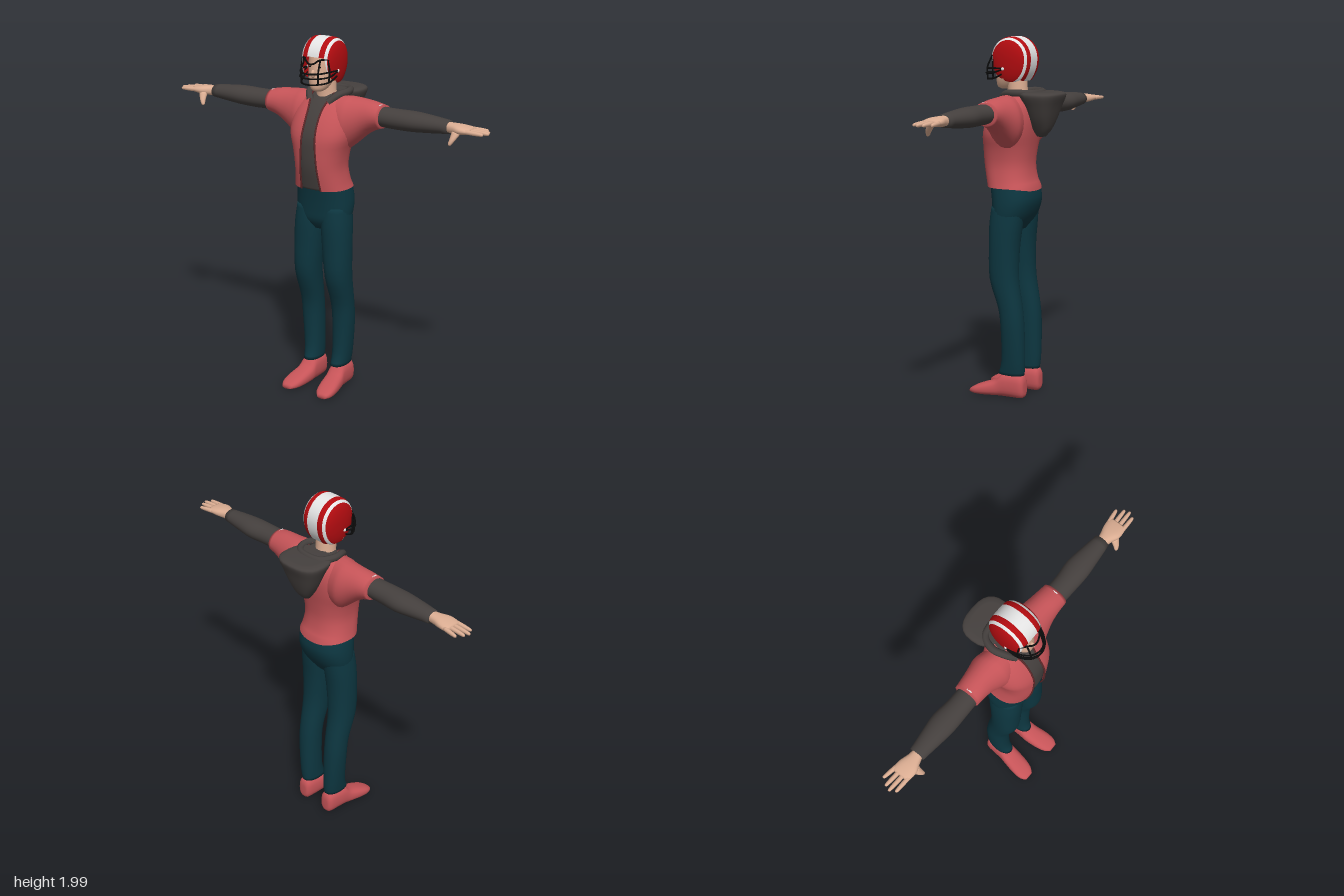
import * as THREE from 'three';

const mat = (name, color, side = THREE.FrontSide) => {
  const m = new THREE.MeshStandardMaterial({ color, side });
  m.name = name;
  return m;
};
const AXES = { x: ['x', 'z', 'y'], y: ['y', 'x', 'z'], z: ['z', 'y', 'x'] };
const V = (x, y, z) => new THREE.Vector3(x, y, z);

// Point on a superellipse ring [t, min1, max1, min2, max2]
function ringPoint(r, a, axis, p) {
  const [t, s, c] = AXES[axis], sn = Math.sin(a), cs = Math.cos(a), v = V(0, 0, 0);
  v[t] = r[0];
  v[s] = (r[1] + r[2]) / 2 + (r[2] - r[1]) / 2 * Math.sign(sn) * Math.abs(sn) ** p;
  v[c] = (r[3] + r[4]) / 2 + (r[4] - r[3]) / 2 * Math.sign(cs) * Math.abs(cs) ** p;
  return v;
}

// Smoothly adds rings between the given ones
function refine(rings, n = 3) {
  const out = [], last = rings.length - 1;
  for (let i = 0; i < last; i++) for (let k = 0; k < n; k++) {
    const t = k / n, q = [-1, 0, 1, 2].map(d => rings[Math.min(last, Math.max(0, i + d))]);
    out.push(q[1].map((b, j) => {
      const a = q[0][j], c = q[2][j], d = q[3][j];
      return b + 0.5 * t * (c - a + t * (2 * a - 5 * b + 4 * c - d + t * (3 * (b - c) + d - a)));
    }));
  }
  out.push(rings[last]);
  return out;
}

function toGeometry(points, index) {
  const g = new THREE.BufferGeometry().setFromPoints(points);
  g.setIndex(index);
  g.computeVertexNormals();
  return g;
}

// Closed, capped body through rings along an axis
function loft(axis, rings, { seg = 24, p = 1 } = {}) {
  const R = refine(rings), mid = r => [r[0], ...Array(2).fill((r[1] + r[2]) / 2), ...Array(2).fill((r[3] + r[4]) / 2)];
  const all = [mid(R[0]), ...R, mid(R[R.length - 1])], pts = [], idx = [];
  all.forEach((r, j) => {
    for (let i = 0; i < seg; i++) {
      pts.push(ringPoint(r, i / seg * Math.PI * 2, axis, p));
      if (j) {
        const n = (i + 1) % seg, a = (j - 1) * seg + i, b = (j - 1) * seg + n, c = j * seg + n, d = j * seg + i;
        idx.push(a, b, c, a, c, d);
      }
    }
  });
  return toGeometry(pts, idx);
}

// Open grid surface from fn(column, row)
function grid(cols, rows, fn) {
  const pts = [], idx = [];
  for (let i = 0; i <= cols; i++) for (let j = 0; j <= rows; j++) {
    pts.push(fn(i, j));
    if (i && j) {
      const a = (i - 1) * (rows + 1) + j - 1, b = a + rows + 1;
      idx.push(a, b, b + 1, a, b + 1, a + 1);
    }
  }
  return toGeometry(pts, idx);
}

function mirrored(geo) {
  const g = geo.clone().scale(-1, 1, 1), ix = g.index.array;
  for (let i = 0; i < ix.length; i += 3) [ix[i], ix[i + 1]] = [ix[i + 1], ix[i]];
  return g;
}

const tube = (pts, r, n = 24) => new THREE.TubeGeometry(
  new THREE.CatmullRomCurve3(pts.map(q => q.isVector3 ? q : V(...q))), n, r, 8);
const ball = (x, y, z, rx, ry, rz) => new THREE.SphereGeometry(1, 16, 12).scale(rx, ry, rz).translate(x, y, z);

export function createModel() {
  const root = new THREE.Group();
  const red = mat('jacket red', 0xc65458, THREE.DoubleSide), grey = mat('charcoal cloth', 0x45403e);
  const teal = mat('dark teal denim', 0x0d3640), skin = mat('skin', 0xdcae93);
  const shellRed = mat('helmet red', 0xb30c10, THREE.DoubleSide), white = mat('helmet white', 0xe6e6e6, THREE.DoubleSide);
  const black = mat('black', 0x0b0b0b), trim = mat('jacket trim', 0x5c2829);
  const add = (name, geo, m) => {
    const mesh = new THREE.Mesh(geo, m);
    mesh.name = name;
    root.add(mesh);
  };
  const pair = (name, geo, m) => {
    add(name + 'Left', geo, m);
    add(name + 'Right', mirrored(geo), m);
  };

  // Trousers
  add('trouserSeat', loft('y', [
    [0.95, -0.09, 0.09, -0.02, 0.1], [1.0, -0.15, 0.15, -0.055, 0.13], [1.06, -0.162, 0.162, -0.085, 0.137],
    [1.13, -0.16, 0.16, -0.1, 0.145], [1.22, -0.148, 0.148, -0.08, 0.16]], { p: 0.85, seg: 32 }), teal);
  pair('trouserLeg', loft('y', [
    [0.14, 0.043, 0.135, -0.07, 0.085], [0.22, 0.042, 0.145, -0.075, 0.062], [0.4, 0.04, 0.16, -0.072, 0.06],
    [0.52, 0.037, 0.163, -0.06, 0.075], [0.68, 0.028, 0.17, -0.035, 0.128], [0.85, 0.012, 0.172, -0.035, 0.134],
    [0.98, 0.003, 0.167, -0.05, 0.135], [1.08, 0.005, 0.155, -0.06, 0.125]], { p: 0.9 }), teal);

  // Shoes
  pair('shoe', loft('z', [
    [-0.08, 0.035, 0.1, 0.07, 0.11], [-0.065, 0.012, 0.14, 0.05, 0.132], [0.0, 0.01, 0.148, 0.043, 0.14],
    [0.05, 0.01, 0.143, 0.042, 0.145], [0.09, 0.01, 0.105, 0.042, 0.152], [0.16, 0.008, 0.08, 0.05, 0.164],
    [0.215, 0.01, 0.058, 0.065, 0.163], [0.247, 0.015, 0.038, 0.09, 0.145]], { p: 0.8 }), red);

  // Open jacket over a shirt; the last number is half the front gap
  const jacket = refine([
    [1.185, -0.158, 0.158, -0.1, 0.172, 0.062], [1.23, -0.148, 0.148, -0.08, 0.182, 0.058],
    [1.31, -0.14, 0.14, -0.07, 0.197, 0.052], [1.4, -0.154, 0.154, -0.08, 0.2, 0.046],
    [1.48, -0.178, 0.178, -0.095, 0.195, 0.042], [1.56, -0.175, 0.175, -0.105, 0.165, 0.04],
    [1.63, -0.155, 0.155, -0.1, 0.122, 0.045], [1.68, -0.115, 0.115, -0.08, 0.08, 0.062],
    [1.7, -0.085, 0.085, -0.065, 0.055, 0.065]]);
  const P = 0.85, gapAngle = r => Math.asin((r[5] / r[2]) ** (1 / P));
  add('jacketBody', grid(40, jacket.length - 1, (i, j) => {
    const g = gapAngle(jacket[j]), a = g + i / 40 * (Math.PI * 2 - 2 * g);
    const v = ringPoint(jacket[j], a, 'y', P);
    if (j === 0) v.y -= 0.018 * Math.max(0, -Math.cos(a)) ** 3;
    return v;
  }), red);
  pair('jacketEdge', tube(jacket.map(r => ringPoint(r, gapAngle(r), 'y', P)), 0.005, 40), trim);
  add('shirt', loft('y', jacket.filter((r, j) => j % 3 === 0).map(r =>
    [r[0], r[1] + 0.012, r[2] - 0.012, r[3] + 0.012, r[4] - 0.012]), { p: P, seg: 40 }), grey);

  // Short jacket sleeves and long shirt sleeves
  pair('jacketSleeve', loft('x', [
    [0.08, -0.075, 0.11, 1.42, 1.688], [0.14, -0.09, 0.115, 1.405, 1.692], [0.18, -0.095, 0.105, 1.43, 1.69],
    [0.24, -0.08, 0.09, 1.482, 1.686], [0.3, -0.068, 0.085, 1.523, 1.68], [0.36, -0.06, 0.084, 1.545, 1.668]]), red);
  pair('shirtSleeve', loft('x', [
    [0.33, -0.045, 0.075, 1.555, 1.66], [0.44, -0.045, 0.078, 1.552, 1.66], [0.54, -0.055, 0.08, 1.553, 1.66],
    [0.63, -0.045, 0.072, 1.56, 1.655], [0.75, -0.028, 0.058, 1.572, 1.643]]), grey);
  pair('cuffMark', new THREE.BoxGeometry(0.006, 0.006, 0.03).translate(0.345, 1.668, 0.02), white);

  // Hands
  pair('palm', loft('x', [
    [0.74, -0.012, 0.045, 1.582, 1.634], [0.78, -0.018, 0.058, 1.58, 1.634], [0.82, -0.03, 0.075, 1.583, 1.632],
    [0.86, -0.035, 0.074, 1.588, 1.626], [0.885, -0.032, 0.068, 1.592, 1.62]], { p: 0.85 }), skin);
  [[-0.023, -0.037, 0.945], [0.005, -0.002, 0.97], [0.032, 0.027, 0.98], [0.06, 0.058, 0.962]].forEach(([z0, z1, tip], k) => {
    const ring = (t, r) => {
      const x = 0.86 + t * (tip - 0.86), z = z0 + t * (z1 - z0), y = 1.607 - 0.003 * t;
      return [x, z - r, z + r, y - r, y + r];
    };
    pair('finger' + (k + 1), loft('x', [ring(0, 0.012), ring(0.5, 0.0115), ring(0.9, 0.009), ring(1, 0.005)], { seg: 10 }), skin);
  });
  pair('thumb', loft('y', [
    [1.532, 0.785, 0.797, 0.08, 0.09], [1.54, 0.781, 0.803, 0.074, 0.094], [1.565, 0.784, 0.82, 0.056, 0.088],
    [1.6, 0.785, 0.84, 0.03, 0.07]], { seg: 12 }), skin);

  // Hood hanging behind the neck, with its collar
  add('hood', loft('y', [
    [1.465, -0.025, 0.025, -0.15, -0.11], [1.5, -0.05, 0.05, -0.18, -0.09], [1.56, -0.085, 0.085, -0.205, -0.08],
    [1.63, -0.115, 0.115, -0.228, -0.06], [1.68, -0.135, 0.135, -0.247, -0.03], [1.7, -0.13, 0.13, -0.245, -0.02],
    [1.708, -0.1, 0.1, -0.215, -0.02]], { p: 0.75 }), grey);
  add('hoodCollar', tube([[-0.055, 1.655, 0.088], [-0.09, 1.692, 0.045], [-0.108, 1.702, -0.03], [-0.07, 1.7, -0.1],
    [0.07, 1.7, -0.1], [0.108, 1.702, -0.03], [0.09, 1.692, 0.045], [0.055, 1.655, 0.088]], 0.02, 48), grey);

  // Neck, head and face
  add('neck', loft('y', [[1.64, -0.065, 0.065, -0.055, 0.07], [1.69, -0.055, 0.055, -0.04, 0.07],
    [1.79, -0.052, 0.052, -0.035, 0.08]]), skin);
  add('head', loft('y', [
    [1.717, -0.025, 0.025, 0.06, 0.12], [1.73, -0.042, 0.042, 0.03, 0.138], [1.765, -0.06, 0.06, -0.01, 0.143],
    [1.81, -0.07, 0.07, -0.045, 0.14], [1.87, -0.076, 0.076, -0.06, 0.134], [1.915, -0.07, 0.07, -0.05, 0.125],
    [1.95, -0.045, 0.045, -0.02, 0.09]]), skin);
  add('nose', ball(0, 1.815, 0.143, 0.011, 0.022, 0.016), skin);
  pair('eye', ball(0.028, 1.85, 0.127, 0.011, 0.005, 0.006), black);

  // Helmet shell with lengthwise stripes
  const half = [[0.036, white, 4], [0.066, shellRed, 4], [0.08, white, 3], [0.103, shellRed, 10]];
  const xs = [0], mats = [];
  let from = 0;
  half.forEach(([to, m, n]) => {
    for (let k = 1; k <= n; k++) {
      const t = k / n;
      xs.push(from + (to - from) * (to > 0.1 ? 1 - (1 - t) ** 2 : t));
      mats.push(m);
    }
    from = to;
  });
  const columns = [...xs.slice(1).reverse().map(x => -x), ...xs], columnMats = [...[...mats].reverse(), ...mats];
  const ROWS = 40, rad = Math.PI / 180;
  const shell = grid(columns.length - 1, ROWS, (i, j) => {
    const x = columns[i], c = Math.min(1, Math.abs(x) / 0.103) ** 2.5, r = Math.sqrt(1 - c * c);
    const k = THREE.MathUtils.smoothstep(Math.abs(x), 0.066, 0.09);
    const a0 = THREE.MathUtils.lerp(12, -72, k), a1 = THREE.MathUtils.lerp(232, 288, k);
    const a = (a0 + j / ROWS * (a1 - a0)) * rad, s = Math.sin(a);
    return V(x, Math.max(1.758, 1.88 + (s > 0 ? 0.12 : 0.15) * r * s), 0.032 + 0.116 * r * Math.cos(a));
  });
  columnMats.forEach((m, i) => shell.addGroup(i * ROWS * 6, ROWS * 6, m === white ? 0 : 1));
  add('helmetShell', shell, [white, shellRed]);
  pair('helmetStud', ball(0.1, 1.828, 0.055, 0.005, 0.009, 0.009), white);

  // Face guard
  const bar = (name, half) => add(name, tube([...half.map(([x, y, z]) => [-x, y, z]), ...[...half].reverse().slice(half[half.length - 1][0] ? 0 : 1)], 0.0048, 40), black);
  bar('guardUpperBar', [[0.098, 1.83, 0.06], [0.09, 1.83, 0.12], [0.055, 1.825, 0.175], [0, 1.823, 0.197]]);
  bar('guardMiddleBar', [[0.098, 1.825, 0.06], [0.09, 1.805, 0.12], [0.055, 1.8, 0.18], [0, 1.8, 0.203]]);
  bar('guardLowerBar', [[0.095, 1.8, 0.06], [0.085, 1.775, 0.12], [0.05, 1.768, 0.175], [0, 1.766, 0.195]]);
  bar('guardBrowBar', [[0.094, 1.88, 0.08], [0.078, 1.895, 0.125], [0.045, 1.893, 0.152], [0.02, 1.875, 0.165], [0, 1.87, 0.168]]);
  pair('guardInnerUpright', tube([[0.05, 1.892, 0.15], [0.054, 1.83, 0.176], [0.052, 1.767, 0.174]], 0.0048), black);
  pair('guardOuterUpright', tube([[0.08, 1.893, 0.122], [0.09, 1.83, 0.122], [0.084, 1.774, 0.122]], 0.0048), black);
  return root;
}
